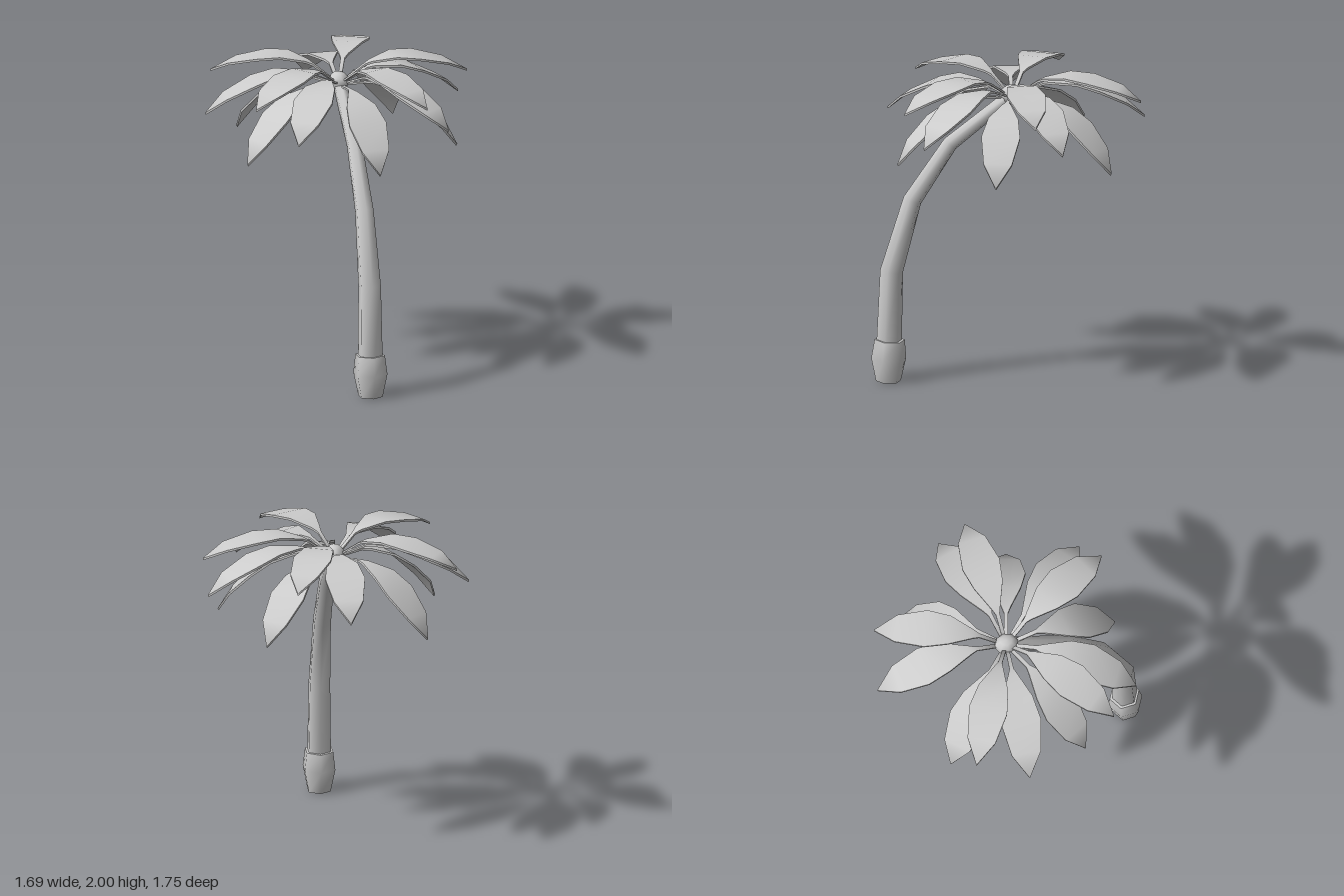
import * as THREE from 'three';
import { toCreasedNormals } from 'three/addons/utils/BufferGeometryUtils.js';

const grey = new THREE.MeshStandardMaterial({ color: 0xcccccc });

// Skins a list of equal-sized rings (counter-clockwise about the direction of travel) and caps both ends.
function loft(rings) {
  const n = rings[0].length, last = (rings.length - 1) * n;
  const index = [];
  for (let i = 0; i < rings.length - 1; i++) {
    for (let j = 0; j < n; j++) {
      const a = i * n + j, b = i * n + (j + 1) % n;
      index.push(a, b, b + n, a, b + n, a + n);
    }
  }
  for (let j = 1; j < n - 1; j++) {
    index.push(0, j + 1, j, last, last + j, last + j + 1);
  }
  const geometry = new THREE.BufferGeometry().setFromPoints(rings.flat());
  geometry.setIndex(index);
  return toCreasedNormals(geometry, 1.1);
}

// Hexagonal tube along a path in the y-z plane; each station is [y, z, radius].
function hexTube(stations) {
  const side = new THREE.Vector3(1, 0, 0);
  const centres = stations.map(([y, z]) => new THREE.Vector3(0.01, y, z));
  return loft(stations.map(([, , r], i) => {
    const before = centres[Math.max(i - 1, 0)];
    const after = centres[Math.min(i + 1, centres.length - 1)];
    const normal = after.clone().sub(before).normalize().cross(side);
    return Array.from({ length: 6 }, (_, k) => {
      const a = Math.PI / 2 + k * Math.PI / 3;
      return centres[i].clone()
        .addScaledVector(side, r * Math.cos(a))
        .addScaledVector(normal, r * Math.sin(a));
    });
  }));
}

// Thin arched leaf along +x; each station is [reach, height, half width].
function frondGeometry() {
  const stations = [
    [0.04, 0.03, 0.012], [0.17, 0.12, 0.013], [0.21, 0.138, 0.03], [0.36, 0.17, 0.095],
    [0.51, 0.155, 0.123], [0.70, 0.105, 0.09], [0.84, 0.03, 0.002],
  ];
  const thickness = 0.014;
  return loft(stations.map(([x, y, w]) => [
    new THREE.Vector3(x, y, -w),
    new THREE.Vector3(x, y, w),
    new THREE.Vector3(x, y - thickness, w),
    new THREE.Vector3(x, y - thickness, -w),
  ]));
}

export function createModel() {
  const model = new THREE.Group();
  const add = (name, geometry, parent = model) => {
    const mesh = new THREE.Mesh(geometry, grey);
    mesh.name = name;
    parent.add(mesh);
    return mesh;
  };

  // Swollen foot and curved, tapering trunk
  add('trunkFoot', hexTube([
    [0, 0.76, 0.08], [0.15, 0.758, 0.112], [0.27, 0.752, 0.097],
  ]));
  add('trunk', hexTube([
    [0.2, 0.757, 0.082], [0.72, 0.74, 0.074], [1.18, 0.607, 0.061],
    [1.54, 0.365, 0.051], [1.83, -0.01, 0.043],
  ]));

  // Knob where the fronds meet
  const knob = add('crownKnob', new THREE.SphereGeometry(1, 8, 6));
  knob.scale.set(0.066, 0.066, 0.08);
  knob.position.set(0.01, 1.845, -0.03);

  // Three tiers of five fronds, each tier drooping more than the one above
  const crown = new THREE.Group();
  crown.name = 'crown';
  crown.position.set(0.01, 1.83, -0.03);
  model.add(crown);
  const geometry = frondGeometry();
  const tiers = [
    { name: 'upperFrond', droop: 0, size: 1, angles: [67, 1, -63, -143, 150] },
    { name: 'middleFrond', droop: 12.5, size: 1.03, angles: [90, 13, -50, -122, 173] },
    { name: 'lowerFrond', droop: 29.5, size: 1.005, angles: [48, -17, -84, -155, 135] },
  ];
  for (const { name, droop, size, angles } of tiers) {
    for (const angle of angles) {
      const frond = add(name, geometry, crown);
      frond.scale.setScalar(size);
      frond.rotation.set(0, THREE.MathUtils.degToRad(angle), THREE.MathUtils.degToRad(-droop));
    }
  }
  return model;
}
